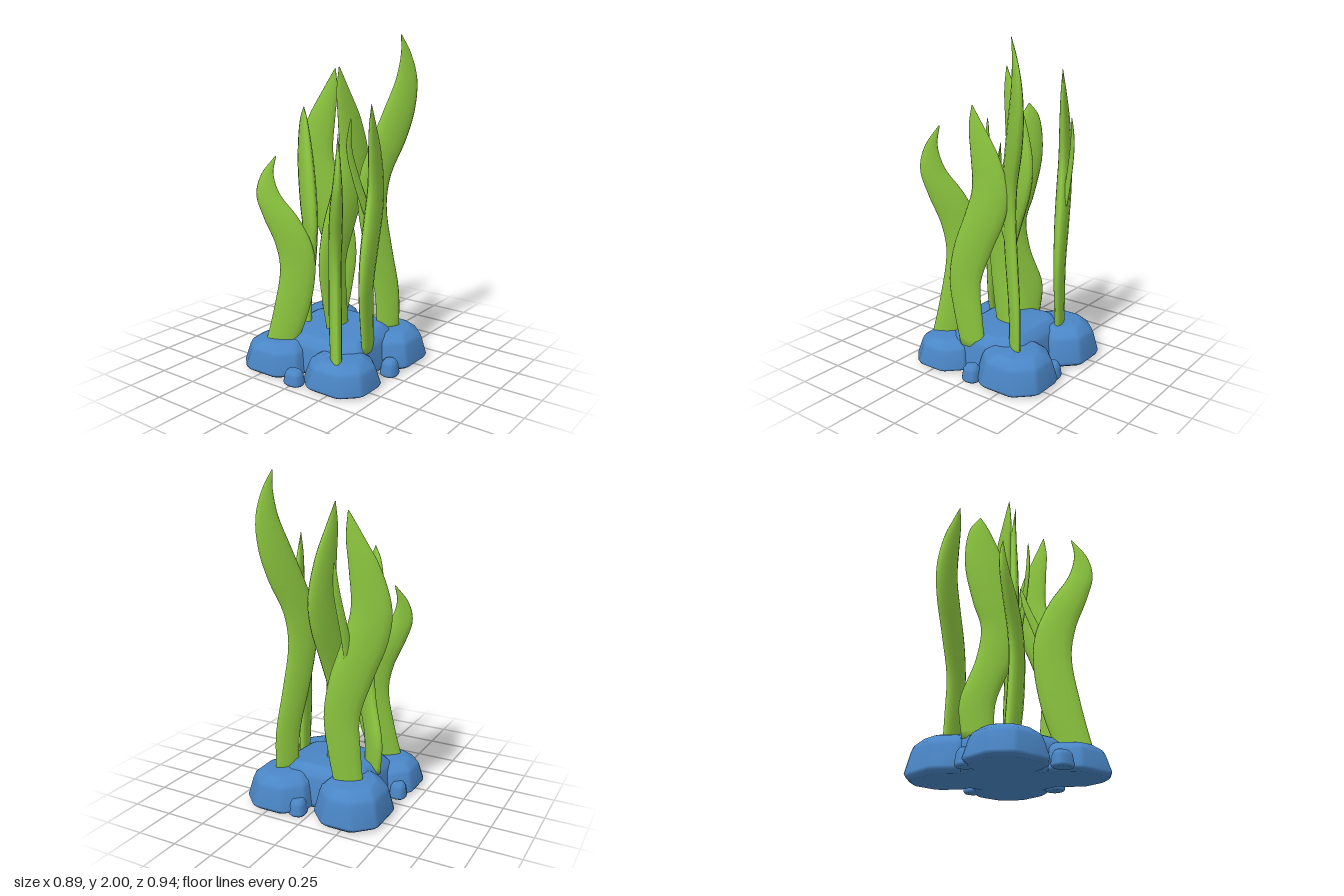
import * as THREE from 'three';

const rockBlue = new THREE.MeshStandardMaterial({ color: 0x4a86c6 });
rockBlue.name = 'rockBlue';
const leafGreen = new THREE.MeshStandardMaterial({ color: 0x8cc63f });
leafGreen.name = 'leafGreen';

// Skin a stack of closed rings (arrays of Vector3, bottom to top) and cap both ends
function loft(rings) {
  const n = rings[0].length, pos = [], idx = [];
  rings.forEach(r => r.forEach(p => pos.push(p.x, p.y, p.z)));
  for (let j = 0; j < rings.length - 1; j++) {
    for (let i = 0; i < n; i++) {
      const a = j * n + i, b = j * n + (i + 1) % n;
      idx.push(a, a + n, b, b, a + n, b + n);
    }
  }
  const last = (rings.length - 1) * n;
  for (const [ring, off, up] of [[rings[0], 0, false], [rings.at(-1), last, true]]) {
    const c = ring.reduce((s, p) => s.add(p), new THREE.Vector3()).divideScalar(n);
    const k = pos.length / 3;
    pos.push(c.x, c.y, c.z);
    for (let i = 0; i < n; i++) {
      const a = off + i, b = off + (i + 1) % n;
      idx.push(k, up ? b : a, up ? a : b);
    }
  }
  const g = new THREE.BufferGeometry();
  g.setAttribute('position', new THREE.Float32BufferAttribute(pos, 3));
  g.setIndex(idx);
  g.computeVertexNormals();
  return g;
}

// Octagon outline with each corner softened into two close points
function octagon(hx, hz, chamfer) {
  const a = hz - chamfer, b = hx - chamfer;
  const c = [[hx, -a], [hx, a], [b, hz], [-b, hz], [-hx, a], [-hx, -a], [-b, -hz], [b, -hz]];
  return c.flatMap(([x, z], i) => [c[(i + 7) % 8], c[(i + 1) % 8]].map(([px, pz]) => {
    const len = Math.hypot(px - x, pz - z), f = Math.min(0.016, len * 0.3) / len;
    return [x + (px - x) * f, z + (pz - z) * f];
  }));
}

// Bevelled stone: [height fraction, inset] of each ring
const ROCK = [[0, 0.03], [0.08, 0.008], [0.16, 0], [0.68, 0.026], [0.8, 0.036], [0.96, 0.075], [1, 0.095]];

function rock(name, x0, x1, z0, z1, h, chamfer, tilt = 0) {
  const hx = (x1 - x0) / 2, hz = (z1 - z0) / 2, k = Math.min(hx, hz, 0.21) / 0.21;
  const rings = ROCK.map(([f, inset]) => octagon(hx - inset * k, hz - inset * k, chamfer * (1 - inset * 2))
    .map(([x, z]) => new THREE.Vector3(x, f * h * (1 + tilt * z), z)));
  const m = new THREE.Mesh(loft(rings), rockBlue);
  m.name = name;
  m.position.set((x0 + x1) / 2, 0, (z0 + z1) / 2);
  return m;
}

// Flattened oval ring: centre c, wide axis (ux, uz), half width w, half thickness t
function oval(c, ux, uz, w, t) {
  return Array.from({ length: 14 }, (_, i) => {
    const a = i / 14 * Math.PI * 2, p = Math.cos(a) * w, q = Math.sin(a) * t;
    return new THREE.Vector3(c.x + ux * p - uz * q, c.y, c.z + uz * p + ux * q);
  });
}

// Swaying blade profiles: [height fraction, sideways sway, half width]
const LONG = [[0, 0, 0.083], [0.14, 0.03, 0.095], [0.28, 0.047, 0.104], [0.42, -0.005, 0.125], [0.56, -0.085, 0.13],
  [0.67, -0.12, 0.115], [0.81, -0.085, 0.088], [0.915, -0.035, 0.049], [1, -0.005, 0.003]];
const WAVY = [[0, 0, 0.088], [0.145, 0.006, 0.1], [0.33, -0.087, 0.106], [0.47, -0.12, 0.113], [0.58, -0.09, 0.13],
  [0.77, -0.025, 0.12], [0.94, 0.012, 0.058], [1, 0.006, 0.003]];
const TALL = [[0, 0, 0.075], [0.15, 0.012, 0.08], [0.3, 0.07, 0.088], [0.45, 0.115, 0.092], [0.55, 0.1, 0.1],
  [0.66, 0.025, 0.11], [0.76, -0.035, 0.1], [0.86, -0.07, 0.068], [0.94, -0.055, 0.033], [1, -0.015, 0.003]];
const CURLED = [[0, 0, 0.095], [0.2, 0.07, 0.108], [0.42, 0.11, 0.107], [0.55, 0.085, 0.11], [0.69, 0.005, 0.104],
  [0.81, -0.075, 0.07], [0.91, -0.085, 0.036], [1, -0.045, 0.003]];

// (dx, dz) points the way the lower bend sways; lean bends the tip off that plane
function blade(name, profile, x, z, y0, top, dx, dz, scale = 1, lean = [0, 0]) {
  const len = Math.hypot(dx, dz), ux = dx / len, uz = dz / len;
  const curve = new THREE.CatmullRomCurve3(profile.map(([f, s, w]) =>
    new THREE.Vector3(s * scale, f, w * scale)));
  const rings = [];
  for (let i = 0; i <= 36; i++) {
    const p = curve.getPoint(i / 36), w = Math.max(p.z, 0.002), bend = p.y ** 4;
    const c = new THREE.Vector3(x + ux * p.x + lean[0] * bend, y0 + p.y * (top - y0), z + uz * p.x + lean[1] * bend);
    rings.push(oval(c, ux, uz, w, w * 0.34));
  }
  const m = new THREE.Mesh(loft(rings), leafGreen);
  m.name = name;
  return m;
}

// Slim side shoot along a short path
function shoot(name, path) {
  const curve = new THREE.CatmullRomCurve3(path.map(p => new THREE.Vector3(...p)));
  const d = curve.points.at(-1).clone().sub(curve.points[0]).setY(0).normalize();
  const rings = [];
  for (let i = 0; i <= 18; i++) {
    const t = i / 18, w = 0.002 + 0.036 * Math.pow(1 - t, 0.7) * (0.8 + 0.5 * t);
    rings.push(oval(curve.getPoint(t), d.x, d.z, w, w * 0.42));
  }
  const m = new THREE.Mesh(loft(rings), leafGreen);
  m.name = name;
  return m;
}

export function createModel() {
  const model = new THREE.Group();
  model.name = 'seaweedOnRocks';

  const rocks = new THREE.Group();
  rocks.name = 'rocks';
  rocks.add(
    rock('centreRock', -0.325, 0.33, -0.305, 0.295, 0.245, 0.1, -0.3),
    rock('backRightRock', -0.445, -0.02, -0.47, -0.01, 0.235, 0.11),
    rock('backLeftRock', 0.02, 0.445, -0.47, -0.02, 0.215, 0.11),
    rock('frontRightRock', -0.445, -0.02, 0.05, 0.45, 0.19, 0.1),
    rock('frontLeftRock', 0.02, 0.445, 0.06, 0.45, 0.18, 0.1),
    rock('frontPebble', -0.06, 0.065, 0.365, 0.465, 0.09, 0.025),
    rock('backPebble', 0.015, 0.12, -0.44, -0.33, 0.1, 0.025),
    rock('leftPebble', 0.33, 0.437, -0.08, 0.03, 0.1, 0.025),
    rock('rightPebble', -0.427, -0.32, 0.04, 0.145, 0.1, 0.025),
  );

  const weed = new THREE.Group();
  weed.name = 'seaweed';
  weed.add(
    blade('backRightBlade', LONG, -0.21, -0.255, 0.16, 1.8, 0.907, -0.42, 1, [0.02, 0]),
    blade('middleBlade', LONG, 0.015, -0.003, 0.19, 1.82, -0.245, 0.97),
    blade('leftBlade', LONG, 0.277, 0.053, 0.16, 1.62, 0.28, 0.96, 0.97, [0, -0.01]),
    blade('middleRightBlade', WAVY, -0.23, 0.014, 0.19, 1.58, -0.8, -0.6),
    blade('backLeftBlade', TALL, 0.235, -0.232, 0.17, 2, -0.6, 0.8, 1, [0.045, 0]),
    blade('frontLeftBlade', CURLED, 0.225, 0.303, 0.13, 1.475, -0.64, -0.77, 1.05, [-0.01, -0.025]),
    blade('frontRightBlade', CURLED, -0.22, 0.275, 0.14, 1.305, 0.85, -0.52, 1, [0, -0.05]),
    shoot('backRightShoot', [[-0.21, 0.88, -0.25], [-0.2, 1.12, -0.3], [-0.17, 1.38, -0.345], [-0.157, 1.53, -0.345]]),
    shoot('backLeftShoot', [[0.18, 0.86, -0.13], [0.148, 1.13, -0.02], [0.127, 1.36, 0.045], [0.135, 1.53, 0.04]]),
    shoot('frontLeftShoot', [[0.15, 0.66, 0.21], [0.115, 0.86, 0.14], [0.07, 1.04, 0.085], [0.048, 1.17, 0.06]]),
  );

  model.add(rocks, weed);
  return model;
}
